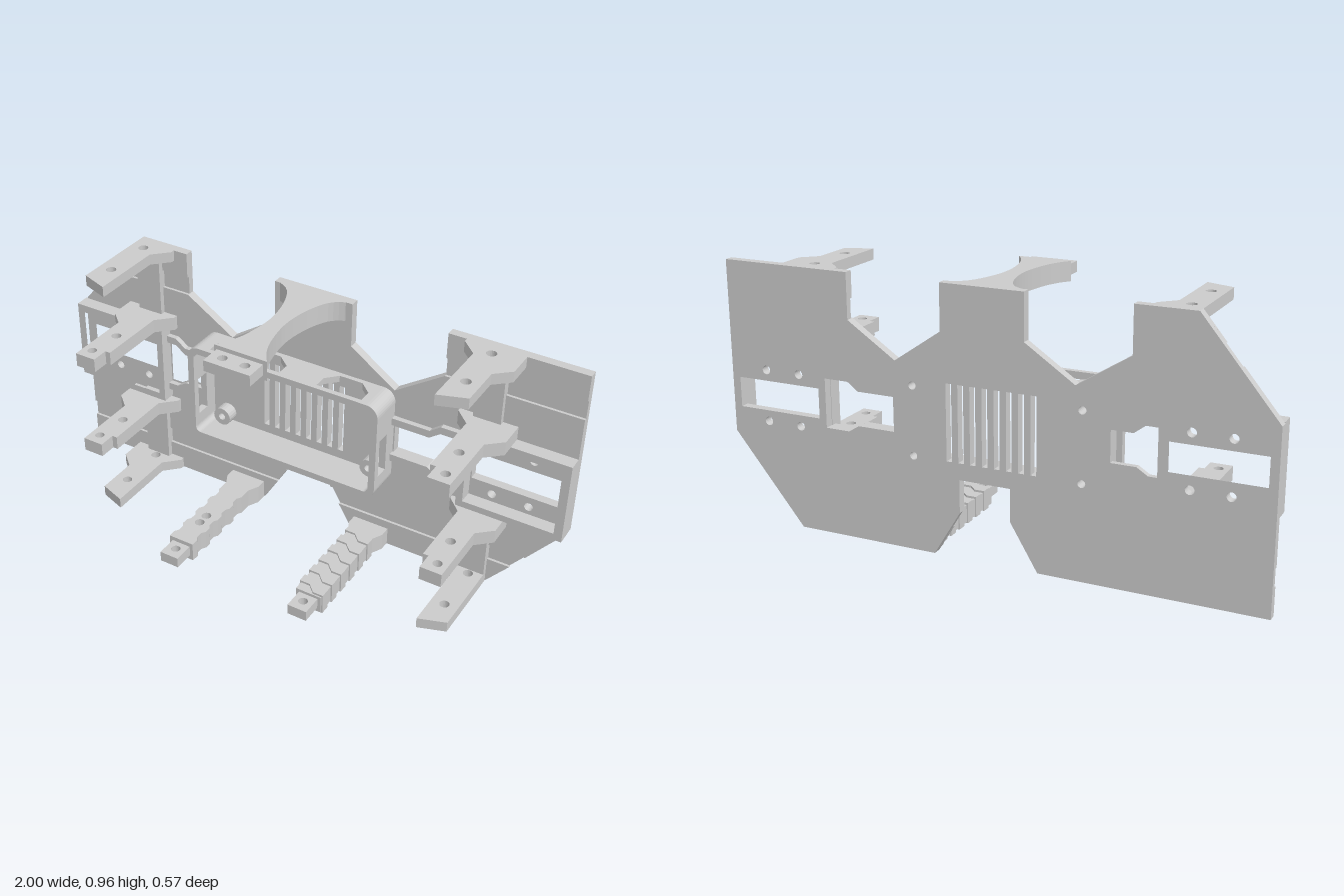
import * as THREE from 'three';

const BACK = -0.283, FACE = -0.25;

export function createModel() {
  const model = new THREE.Group();
  const mat = new THREE.MeshStandardMaterial({ color: 0xcccccc, flatShading: true });

  const add = (name, geo) => {
    const m = new THREE.Mesh(geo, mat);
    m.name = name;
    model.add(m);
    return m;
  };
  const poly = (pts, C = THREE.Shape) => new C(pts.map(p => new THREE.Vector2(p[0], p[1])));
  const rect = (x0, y0, x1, y1) => [[x0, y0], [x1, y0], [x1, y1], [x0, y1]];
  const circle = (x, y, r) => Array.from({ length: 20 }, (_, i) => {
    const a = i / 20 * Math.PI * 2;
    return [x + r * Math.cos(a), y + r * Math.sin(a)];
  });
  const extrude = (pts, holes, depth) => {
    const s = poly(pts);
    holes.forEach(h => s.holes.push(poly(h, THREE.Path)));
    return new THREE.ExtrudeGeometry(s, { depth, bevelEnabled: false });
  };
  // outline in x,y between two z depths
  const slabZ = (name, pts, z0, z1, holes = []) =>
    add(name, extrude(pts, holes, z1 - z0).translate(0, 0, z0));
  // outline in x,z between two heights
  const slabY = (name, pts, y0, y1, holes = []) =>
    add(name, extrude(pts, holes, y1 - y0).rotateX(Math.PI / 2).translate(0, y1, 0));
  // outline in z,y between two x positions
  const slabX = (name, pts, x0, x1, holes = []) =>
    add(name, extrude(pts, holes, x1 - x0).rotateY(-Math.PI / 2).translate(x1, 0, 0));

  // cable opening beside the tray, optionally grown by g
  const cable = (s, inner, g = 0) => {
    const k = s < 0 ? 0.53 : 0.48;
    return [[0.612, 0.58 + g], [k + 0.04, 0.58 + g], [k, 0.55 + g], [inner, 0.55 + g],
      [inner, 0.425 - g], [k, 0.425 - g], [k + 0.04, 0.40 - g], [0.612, 0.40 - g]].map(([x, y]) => [s * x, y]);
  };
  const bosses = [];
  for (const x of [-0.355, 0.265]) for (const y of [0.35, 0.60]) bosses.push([x, y]);

  // all through holes of the plate
  const holes = [];
  for (const s of [-1, 1]) {
    holes.push(rect(s * 0.64, 0.43, s * 0.97, 0.54));
    for (const x of [0.72, 0.855]) for (const y of [0.39, 0.58]) holes.push(circle(s * x, y, 0.016));
    holes.push(cable(s, s < 0 ? 0.444 : 0.34));
  }
  for (let i = 0; i < 8; i++) {
    const x = -0.195 + i * 0.0445;
    holes.push(rect(x, 0.35, x + 0.021, 0.625));
  }
  bosses.forEach(([x, y]) => holes.push(circle(x, y, 0.014)));

  // back plate
  slabZ('backPlate', [[-1, 0.004], [-1, 0.64], [-0.73, 0.965], [-0.52, 0.965], [-0.52, 0.8], [-0.33, 0.68],
    [-0.15, 0.8], [-0.15, 0.965], [0.155, 0.965], [0.155, 0.8], [0.33, 0.68], [0.51, 0.8], [0.51, 0.965],
    [1, 0.965], [1, 0.335], [0.73, 0.004], [0.19, 0.004], [0.09, 0.17], [0.09, 0.29], [-0.1, 0.29],
    [-0.1, 0.17], [-0.2, 0.004]], BACK, -0.26, holes);

  // raised front skin, leaving shallow horizontal grooves
  slabZ('plateSkin', [[-1, 0.17], [-1, 0.64], [-0.867, 0.8], [-0.52, 0.8], [-0.33, 0.68], [-0.15, 0.8],
    [0.155, 0.8], [0.33, 0.68], [0.51, 0.8], [1, 0.8], [1, 0.335], [0.867, 0.17], [0.09, 0.17],
    [0.09, 0.29], [-0.1, 0.29], [-0.1, 0.17]], -0.26, FACE, holes);
  [
    [[-0.809, 0.87], [-0.73, 0.965], [-0.52, 0.965], [-0.52, 0.87]],
    rect(-0.15, 0.8, 0.155, 0.965),
    rect(0.51, 0.87, 1, 0.965),
    [[-1, 0.004], [-1, 0.105], [-0.138, 0.105], [-0.2, 0.004]],
    [[0.73, 0.004], [0.815, 0.105], [0.128, 0.105], [0.19, 0.004]],
  ].forEach(p => slabZ('plateSkin', p, -0.26, FACE));

  // side assemblies: motor frame, rail, cable rim and clamp arms
  for (const s of [-1, 1]) {
    const mx = pts => pts.map(([x, y]) => [s * x, y]);
    slabZ('motorFrame', mx(rect(0.61, 0.335, 1, 0.645)), FACE, -0.198, [mx(rect(0.635, 0.36, 0.97, 0.615))]);
    slabZ('rail', mx(rect(0.63, 0.045, 0.73, 0.335)), -0.262, -0.23);
    slabZ('rail', mx(rect(0.63, 0.645, 0.73, 0.925)), -0.262, -0.23);
    const inner = s < 0 ? 0.44 : 0.335;
    const rim = cable(s, inner, 0.028), cut = cable(s, inner);
    slabZ('cableRimTop', [...rim.slice(0, 4), ...cut.slice(0, 4).reverse()], FACE, -0.23);
    slabZ('cableRimBottom', [...rim.slice(4), ...cut.slice(4).reverse()], FACE, -0.23);

    [[0.004, 0.045, false], [0.275, 0.327, true], [0.643, 0.695, true], [0.925, 0.965, false]]
      .forEach(([y0, y1, long], i) => {
        const clipped = (s < 0 && i === 3) || (s > 0 && i === 0);
        const root = clipped ? [[0.73, -0.26]] : [[0.785, -0.26], [0.785, -0.15], [0.73, -0.1]];
        const tip = long ? [[0.73, 0.15], [0.65, 0.15], [0.65, 0.085], [0.63, 0.085]] : [[0.73, 0.06], [0.63, 0.095]];
        const pins = [[0.68, -0.02, 0.018], long ? [0.693, 0.105, 0.017] : [0.68, -0.21, 0.018]];
        slabY('clampArm', mx([...root, ...tip, [0.63, -0.18], [0.575, -0.235], [0.575, -0.26]]), y0, y1,
          pins.map(([x, z, r]) => circle(s * x, z, r)));
      });
  }

  // electronics tray: four walls, rounded corners and screw bosses
  const X0 = -0.44, X1 = 0.335, Y0 = 0.29, Y1 = 0.68, ZF = -0.12, T = 0.025, R = 0.045;
  slabY('trayTopWall', rect(X0 + R, FACE, X1 - R, ZF), Y1 - T, Y1, [
    [[-0.355, -0.14], [-0.355, -0.19], [-0.305, -0.232], [-0.115, -0.232], [-0.065, -0.19], [-0.065, -0.14]],
    [[0.085, -0.14], [0.085, -0.19], [0.125, -0.232], [0.215, -0.232], [0.26, -0.19], [0.26, -0.14]],
  ]);
  slabY('trayBottomWall', rect(X0 + R, FACE, X1 - R, ZF), Y0, Y0 + T);
  for (const x of [X0, X1 - T])
    slabX('traySideWall', rect(FACE, Y0 + R, ZF, Y1 - R), x, x + T, [rect(-0.198, 0.38, -0.145, 0.53)]);
  [[X1 - R, Y1 - R], [X0 + R, Y1 - R], [X0 + R, Y0 + R], [X1 - R, Y0 + R]].forEach(([cx, cy], q) => {
    const arc = r => Array.from({ length: 9 }, (_, i) => {
      const a = (q + i / 8) * Math.PI / 2;
      return [cx + r * Math.cos(a), cy + r * Math.sin(a)];
    });
    slabZ('trayCorner', [...arc(R), ...arc(R - T).reverse()], FACE, ZF);
  });
  bosses.forEach(([x, y]) => slabZ('screwBoss', circle(x, y, 0.035), FACE, -0.205, [circle(x, y, 0.014)]));

  // waisted top bracket with end tab
  const curve = new THREE.SplineCurve([[0.15, -0.26], [0.085, -0.22], [0.045, -0.13], [0.03, -0.02],
    [0.045, 0.09], [0.07, 0.16], [0.1, 0.205]].map(p => new THREE.Vector2(...p))).getPoints(28);
  const side = curve.map(p => [p.x, p.y]);
  slabY('topBracket', [...side, ...side.map(([x, z]) => [-x, z]).reverse()], 0.893, 0.965);
  slabY('topBracketTab', rect(-0.09, 0.2, 0.085, 0.283), 0.91, 0.95,
    [circle(-0.045, 0.24, 0.017), circle(0.04, 0.24, 0.017)]);

  // lower left-hand bracket with notched sides
  const notched = [[0.07, -0.26], [0.07, -0.21], [0.05, -0.17]];
  for (let z = -0.12; z < 0.15; z += 0.08)
    notched.push([0.05, z], [0.04, z + 0.015], [0.04, z + 0.04], [0.05, z + 0.055]);
  notched.push([0.05, 0.205]);
  slabY('notchedBracket', [...notched.map(([x, z]) => [-0.27 + x, z]),
    ...notched.map(([x, z]) => [-0.27 - x, z]).reverse()], 0.004, 0.078,
  [circle(-0.27, 0.04, 0.018), circle(-0.27, 0.085, 0.018)]);

  // lower right-hand bracket with chevron ribs
  slabY('ribbedBracket', [[0.195, -0.26], [0.195, -0.21], [0.215, -0.17], [0.215, 0.205],
    [0.315, 0.205], [0.315, -0.17], [0.335, -0.21], [0.335, -0.26]], 0.006, 0.073);
  for (let i = 0; i < 6; i++) {
    const z = -0.19 + i * 0.065;
    slabY('chevronRib', [[0.21, z], [0.25, z], [0.28, z + 0.03], [0.32, z + 0.03],
      [0.32, z + 0.065], [0.28, z + 0.065], [0.25, z + 0.035], [0.21, z + 0.035]], 0.002, 0.081);
  }
  for (const x of [-0.27, 0.265])
    slabY('lowerBracketTab', rect(x - 0.037, 0.2, x + 0.037, 0.283), 0.022, 0.062, [circle(x, 0.24, 0.017)]);

  return model;
}
